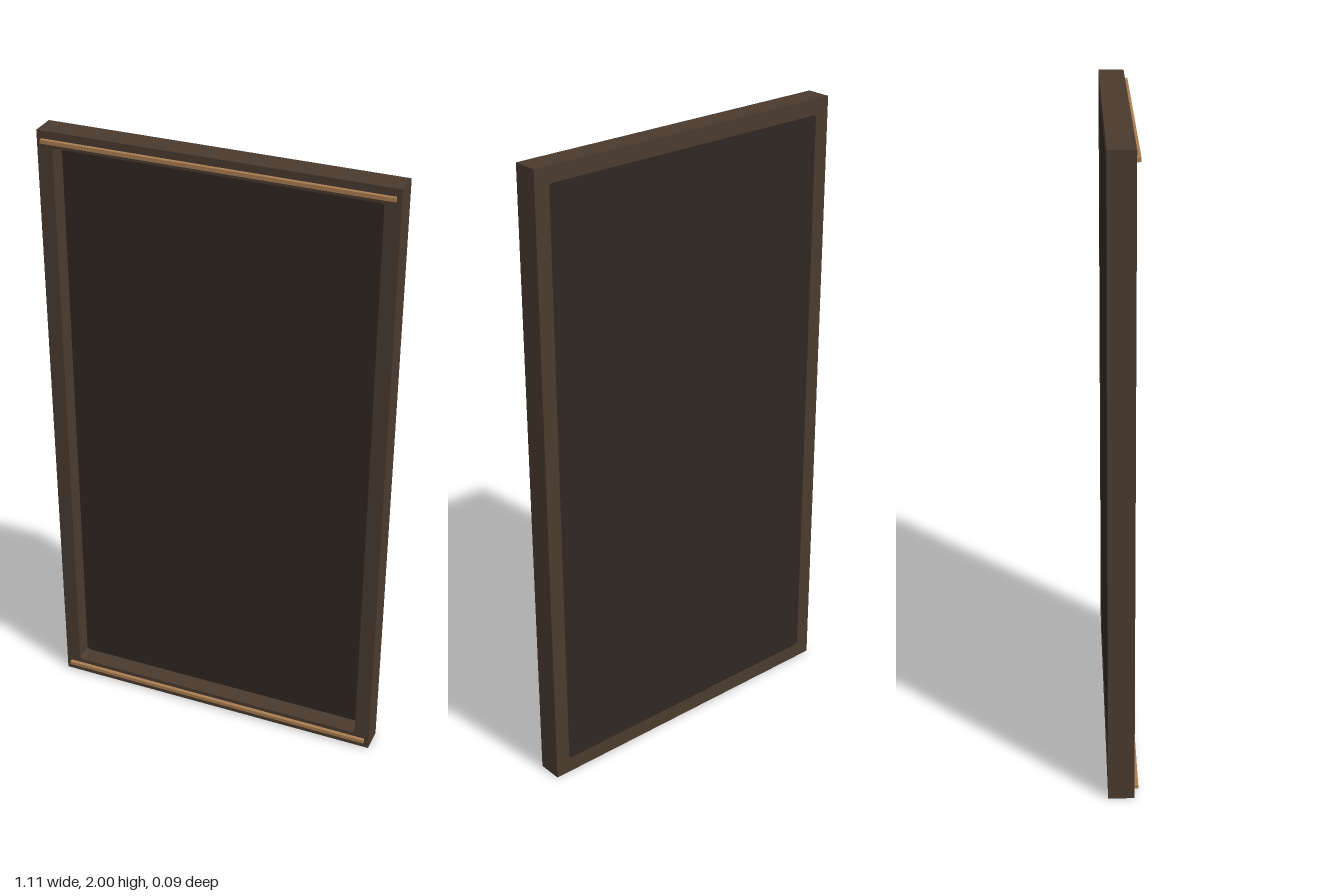
import * as THREE from 'three';

const W = 1.106, H = 2, BACK = -0.046, FRONT = 0.034;

// Rectangle centred on (0, H / 2) with corners of radius r
function roundedRect(path, w, h, r) {
  const x = w / 2, y0 = (H - h) / 2, y1 = (H + h) / 2;
  path.moveTo(-x + r, y0);
  path.lineTo(x - r, y0);
  path.quadraticCurveTo(x, y0, x, y0 + r);
  path.lineTo(x, y1 - r);
  path.quadraticCurveTo(x, y1, x - r, y1);
  path.lineTo(-x + r, y1);
  path.quadraticCurveTo(-x, y1, -x, y1 - r);
  path.lineTo(-x, y0 + r);
  path.quadraticCurveTo(-x, y0, -x + r, y0);
  return path;
}

export function createModel() {
  const group = new THREE.Group();
  const wood = new THREE.MeshStandardMaterial({ color: 0x4a3a2e });
  const dark = new THREE.MeshStandardMaterial({ color: 0x2f2623 });
  const brass = new THREE.MeshStandardMaterial({ color: 0xa87c50 });

  const add = (name, geometry, material, x, y, z) => {
    const mesh = new THREE.Mesh(geometry, material);
    mesh.name = name;
    mesh.position.set(x, y, z);
    group.add(mesh);
  };

  // Outer frame with a softly rounded opening
  const outline = new THREE.Shape([
    new THREE.Vector2(-W / 2, 0), new THREE.Vector2(W / 2, 0),
    new THREE.Vector2(W / 2, H), new THREE.Vector2(-W / 2, H),
  ]);
  outline.holes.push(roundedRect(new THREE.Path(), 1.008, 1.9, 0.012));
  const frame = new THREE.ExtrudeGeometry(outline, {
    depth: FRONT - BACK, bevelEnabled: false, curveSegments: 4,
  });
  add('frame', frame, wood, 0, 0, BACK);

  // Back panel filling the opening, set deep behind the front face
  add('backPanel', new THREE.BoxGeometry(1.01, 1.902, 0.02), dark, 0, H / 2, BACK + 0.011);

  // Thin trim strips along the top and bottom rails
  for (const [name, y] of [['bottomTrim', 0.03], ['topTrim', 1.97]]) {
    add(name, new THREE.BoxGeometry(1.076, 0.012, 0.016), brass, 0, y, 0.038);
  }
  return group;
}
